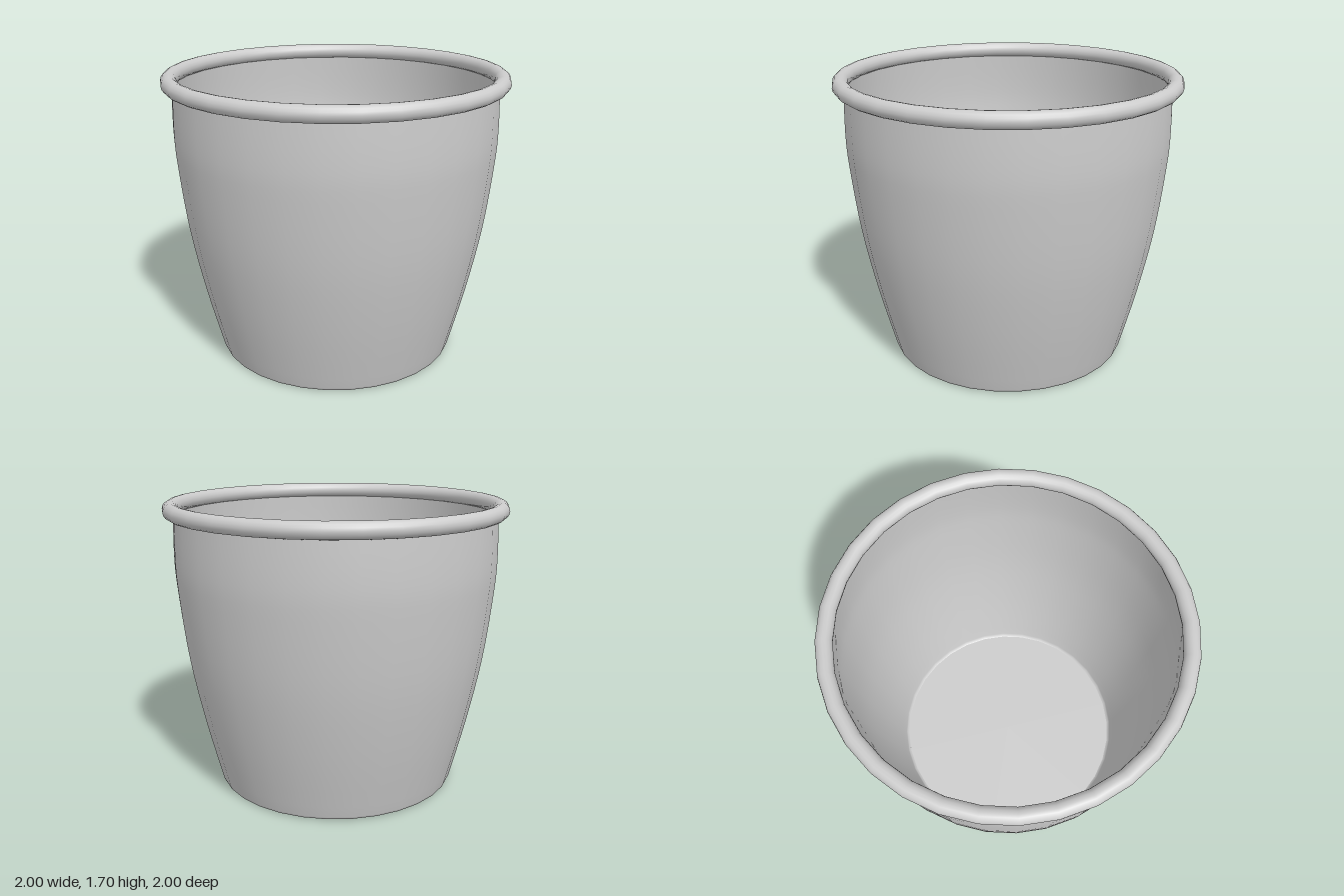
import * as THREE from 'three';

const SEGMENTS = 32;

export function createModel() {
  const group = new THREE.Group();
  group.name = 'pot';
  const material = new THREE.MeshStandardMaterial({ color: 0xcccccc, side: THREE.DoubleSide });
  const add = (name, geometry) => {
    const mesh = new THREE.Mesh(geometry, material);
    mesh.name = name;
    group.add(mesh);
    return mesh;
  };

  // Thin bulging wall, with a small rounded edge at the foot
  const curve = new THREE.SplineCurve([
    [0.722, 0.02], [0.815, 0.4], [0.892, 0.8], [0.937, 1.2], [0.946, 1.4], [0.938, 1.65],
  ].map(([r, y]) => new THREE.Vector2(r, y)));
  const profile = [
    new THREE.Vector2(0.705, 0),
    new THREE.Vector2(0.716, 0.006),
    ...curve.getPoints(20),
  ];
  add('wall', new THREE.LatheGeometry(profile, SEGMENTS));

  // Flat floor closing the bottom
  const floor = new THREE.CircleGeometry(0.705, SEGMENTS);
  floor.rotateX(Math.PI / 2);
  add('floor', floor);

  // Rolled rim around the mouth
  const rim = new THREE.TorusGeometry(0.954, 0.046, 16, SEGMENTS);
  rim.rotateX(Math.PI / 2);
  add('rim', rim).position.y = 1.654;

  return group;
}
